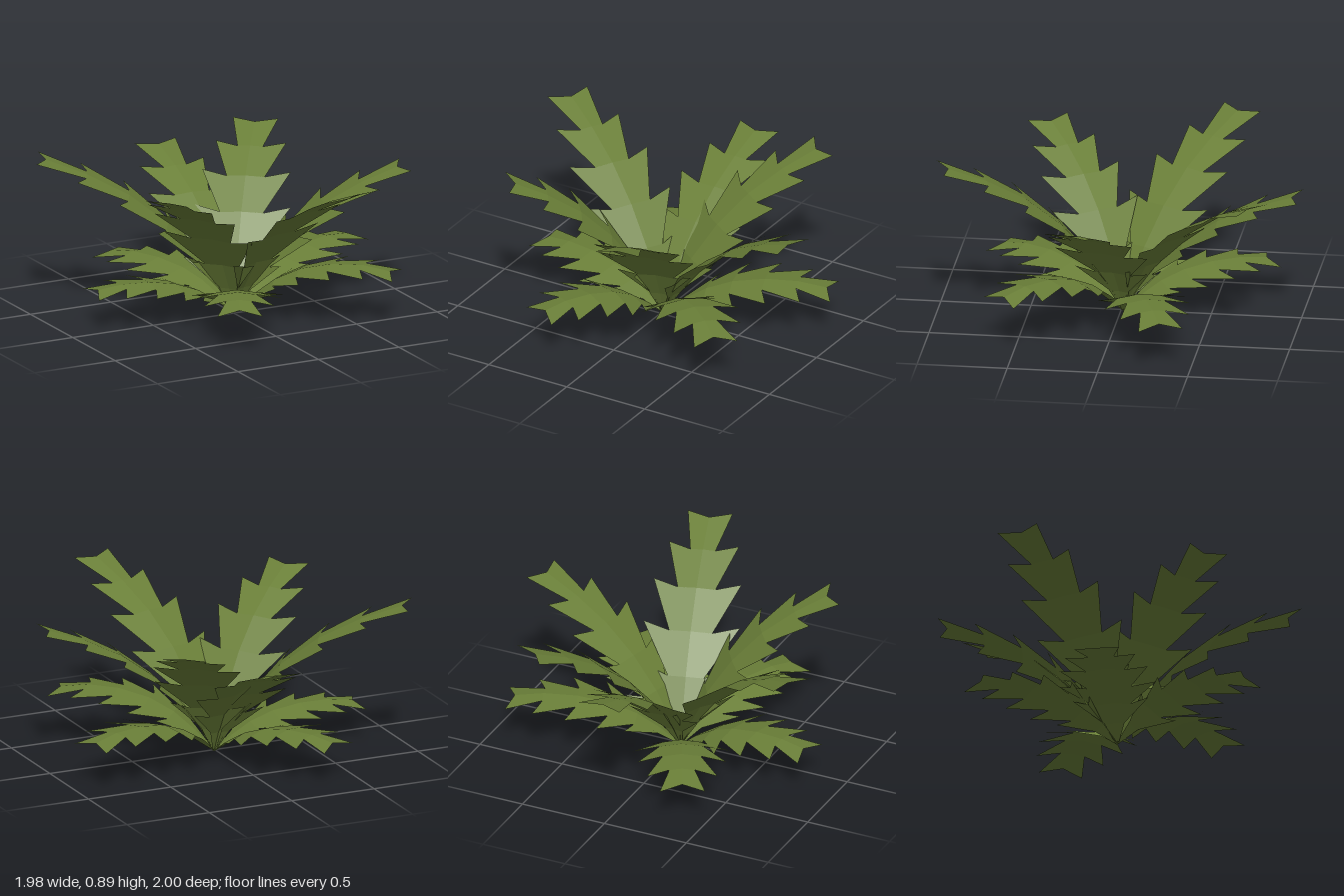
import * as THREE from 'three';

// Rows along a frond, base to tip: half width at the tooth tips and at the notch behind them
const TOOTH = [0, 0.07, 0.21, 0.27, 0.245, 0.195, 0.125];
const NOTCH = [0.008, 0.05, 0.1, 0.12, 0.105, 0.07, 0];

// Arching spine of each tier, as fractions of the tip's reach and height; fold is the blade's droop
const TALL = {
  r: [0, 0.08, 0.18, 0.35, 0.555, 0.78, 1],
  y: [0, 0.18, 0.365, 0.585, 0.77, 0.905, 1],
  fold: 0.07,
};
const LOW = {
  r: [0, 0.12, 0.26, 0.42, 0.62, 0.825, 1],
  y: [0, 0.38, 0.72, 0.96, 1.1, 1.12, 1.03],
  fold: 0.13,
};

// Tip position of each frond: x, y, z
const TALL_TIPS = [
  [0.3, 0.89, 0.965], [0.035, 0.72, -0.995], [0.56, 0.825, -0.805],
  [-0.93, 0.87, -0.55], [0.965, 0.765, 0.19], [-0.685, 0.85, 0.5],
];
const LOW_TIPS = [
  [0.915, 0.25, -0.34], [0.71, 0.29, 0.59], [-0.345, 0.24, 0.73],
  [-0.83, 0.21, -0.115], [-0.38, 0.21, -0.8],
];
const BASE = new THREE.Vector3(0.01, 0.005, -0.015);
const SWEEP = 0.045; // how far teeth reach ahead of the spine

function frondGeometry(tip, { r, y, fold }) {
  const out = new THREE.Vector3(tip[0] - BASE.x, 0, tip[2] - BASE.z);
  const reach = out.length() - SWEEP;
  out.normalize();
  const side = new THREE.Vector3(-out.z, 0, out.x);
  const spine = r.map((f, i) => BASE.clone()
    .addScaledVector(out, f * reach)
    .setY(BASE.y + y[i] * (tip[1] - BASE.y)));

  const positions = [];
  const tri = (...pts) => pts.forEach((p) => positions.push(p.x, p.y, p.z));

  for (let i = 0; i < spine.length - 1; i++) {
    const a = spine[i], b = spine[i + 1];
    const along = b.clone().sub(a).normalize();
    const up = new THREE.Vector3().crossVectors(side, along);
    for (const s of [-1, 1]) {
      // Point beside the spine, lowered by the fold
      const edge = (p, halfWidth) => p.clone()
        .addScaledVector(side, s * halfWidth).addScaledVector(up, -fold * halfWidth);
      const notch = edge(a, NOTCH[i]);
      const tooth = edge(b, TOOTH[i + 1]).addScaledVector(along, SWEEP);
      const inner = edge(b, NOTCH[i + 1]);
      // Half of one segment, its front facing up
      for (const [p, q, t] of [[a, notch, tooth], [a, tooth, inner], [a, inner, b]]) {
        if (s > 0) tri(p, t, q);
        else tri(p, q, t);
      }
    }
  }
  const geo = new THREE.BufferGeometry();
  geo.setAttribute('position', new THREE.Float32BufferAttribute(positions, 3));
  geo.computeVertexNormals();
  return geo;
}

export function createModel() {
  const model = new THREE.Group();
  model.name = 'fern';
  const leaf = new THREE.MeshStandardMaterial({
    color: 0x6a7f38, flatShading: true, side: THREE.DoubleSide,
  });
  leaf.name = 'leaf green';

  const addTier = (name, tips, tier) => {
    const group = new THREE.Group();
    group.name = name + 'Fronds';
    tips.forEach((tip, i) => {
      const frond = new THREE.Mesh(frondGeometry(tip, tier), leaf);
      frond.name = `${name}Frond${i + 1}`;
      group.add(frond);
    });
    model.add(group);
  };
  addTier('tall', TALL_TIPS, TALL);
  addTier('low', LOW_TIPS, LOW);
  return model;
}
